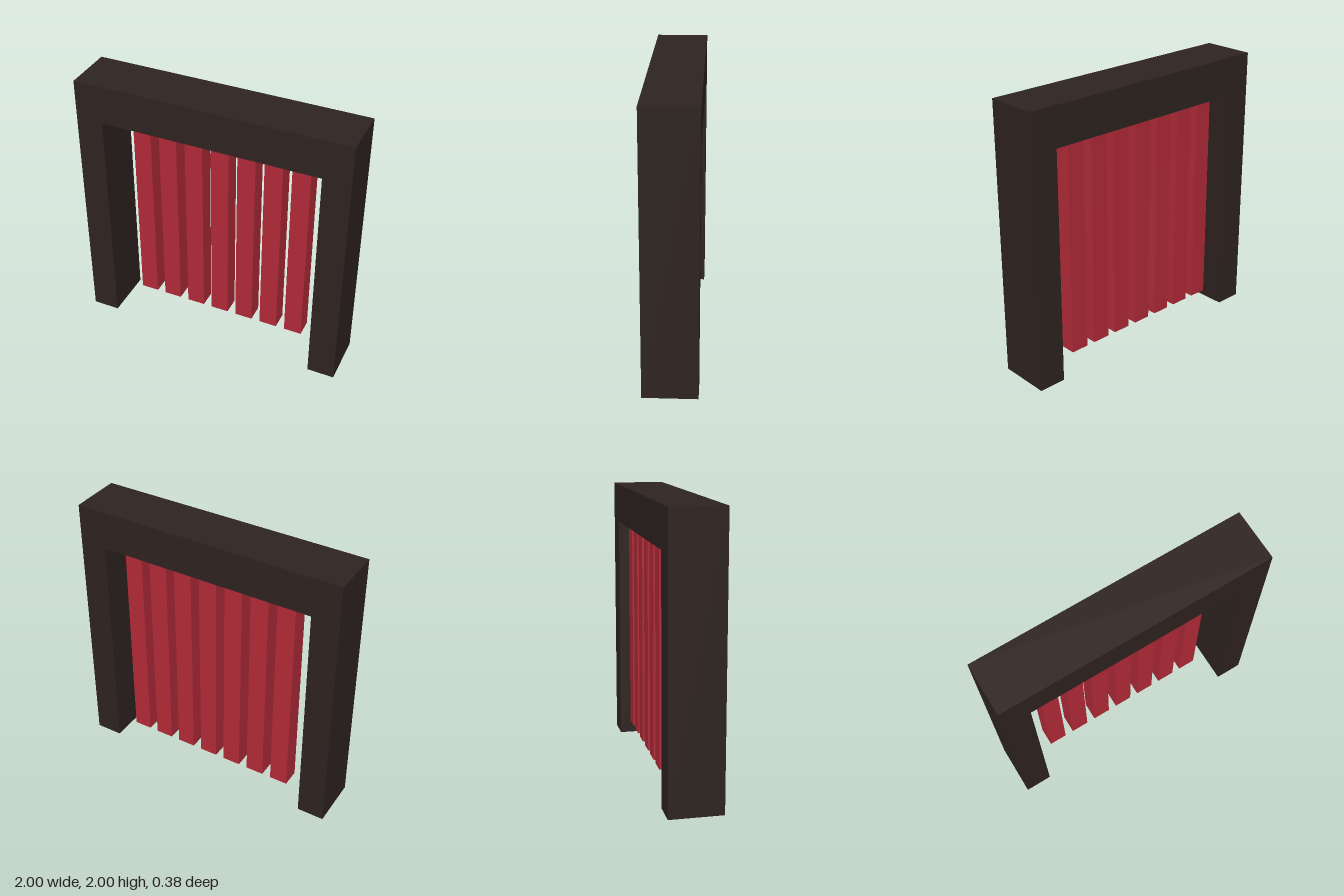
import * as THREE from 'three';

export function createModel() {
  const group = new THREE.Group();
  const frameMaterial = new THREE.MeshStandardMaterial({ color: 0x2e2320 });
  const slatMaterial = new THREE.MeshStandardMaterial({ color: 0xb22a38 });

  // Gate frame: two posts and a lintel as one solid
  const depth = 0.38, underside = 1.715;
  const outline = new THREE.Shape([
    [-1, 0], [-0.8, 0], [-0.8, underside], [0.8, underside],
    [0.8, 0], [1, 0], [1, 2], [-1, 2],
  ].map(([x, y]) => new THREE.Vector2(x, y)));
  const frameGeometry = new THREE.ExtrudeGeometry(outline, { depth, bevelEnabled: false });
  frameGeometry.translate(0, 0, -depth / 2);
  const frame = new THREE.Mesh(frameGeometry, frameMaterial);
  frame.name = 'frame';
  group.add(frame);

  // Row of square slats hanging from the lintel, set towards the back
  const slats = new THREE.Group();
  slats.name = 'slats';
  const width = 0.134, bottom = 0.14;
  const slatGeometry = new THREE.BoxGeometry(width, underside - bottom, width);
  for (let i = -3; i <= 3; i++) {
    const slat = new THREE.Mesh(slatGeometry, slatMaterial);
    slat.name = 'slat';
    slat.position.set(i * 0.2, (underside + bottom) / 2, -width / 2);
    slats.add(slat);
  }
  group.add(slats);

  return group;
}
